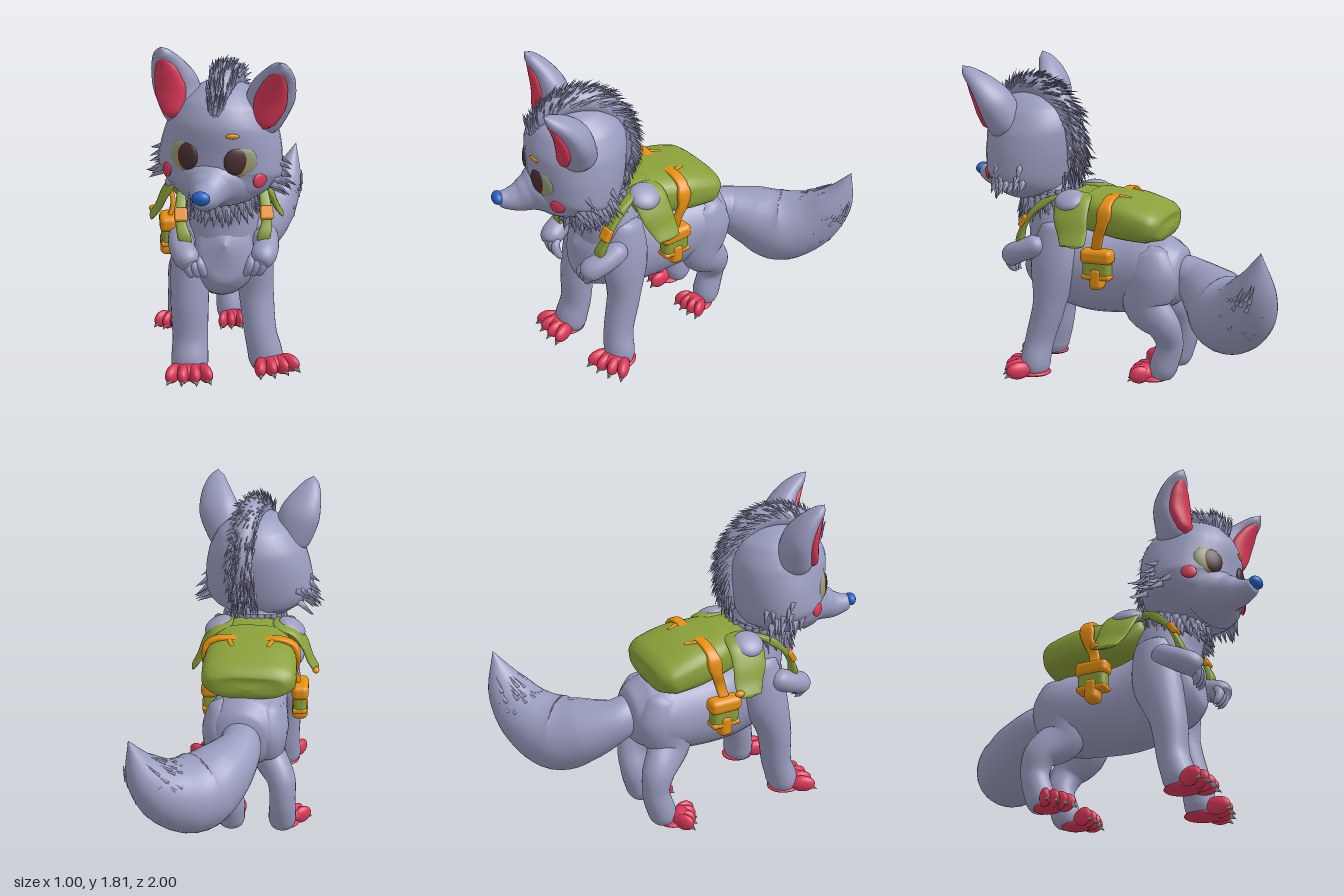
import * as THREE from 'three';
import { mergeGeometries } from 'three/addons/utils/BufferGeometryUtils.js';
import { RoundedBoxGeometry } from 'three/addons/geometries/RoundedBoxGeometry.js';

const V = (x, y, z) => new THREE.Vector3(x, y, z);
const CX = -0.09; // body midline

function paint(name, hex) {
  const m = new THREE.MeshStandardMaterial({ color: hex });
  m.name = name;
  return m;
}

// Smooth skin over sections [x, y, z, rx, ry]; rx runs along ref, power < 1 squares the section
function loft(rows, { ref = V(1, 0, 0), power = 1, sides = 24, steps = 6 } = {}) {
  const path = new THREE.CatmullRomCurve3(rows.map(r => V(r[0], r[1], r[2])));
  const size = new THREE.CatmullRomCurve3(rows.map(r => V(r[3], r[4], 0)));
  const n = (rows.length - 1) * steps, pos = [], idx = [];
  const bend = v => Math.sign(v) * Math.abs(v) ** power;
  for (let i = 0; i <= n; i++) {
    const c = path.getPoint(i / n), r = size.getPoint(i / n), t = path.getTangent(i / n);
    const u = ref.clone().addScaledVector(t, -ref.dot(t)).normalize();
    const w = t.clone().cross(u);
    for (let j = 0; j < sides; j++) {
      const a = j / sides * Math.PI * 2;
      const p = c.clone().addScaledVector(u, bend(Math.cos(a)) * Math.max(r.x, 0.0005))
        .addScaledVector(w, bend(Math.sin(a)) * Math.max(r.y, 0.0005));
      pos.push(p.x, p.y, p.z);
      if (i === n) continue;
      const k = (j + 1) % sides, A = i * sides + j, B = i * sides + k;
      idx.push(A, B, A + sides, B, B + sides, A + sides);
    }
  }
  const g = new THREE.BufferGeometry();
  g.setAttribute('position', new THREE.Float32BufferAttribute(pos, 3));
  g.setIndex(idx);
  g.computeVertexNormals();
  return g;
}

// Merged pointed tufts: each is { p, d, len, r }
function tufts(list) {
  return mergeGeometries(list.map(({ p, d, len, r }) => {
    const g = new THREE.ConeGeometry(r, len, 4).translate(0, len / 2, 0);
    g.applyQuaternion(new THREE.Quaternion().setFromUnitVectors(V(0, 1, 0), d.clone().normalize()));
    return g.translate(p.x, p.y, p.z);
  }));
}

export function createModel() {
  const fur = paint('fur', 0x9a9cbf), green = paint('bag green', 0x8aa03a), orange = paint('strap orange', 0xe68f12);
  const red = paint('paw red', 0xdb3858), blue = paint('nose blue', 0x2463c4), brown = paint('pupil brown', 0x4a2f33);
  const claw = paint('claw grey', 0x9c9f98), eyeGrey = paint('eye olive', 0x949b78);
  const model = new THREE.Group();
  let seed = 7;
  const rnd = () => (seed = (seed * 16807) % 2147483647) / 2147483647;

  const add = (parent, name, geo, mat) => {
    const m = new THREE.Mesh(geo, mat);
    m.name = name;
    parent.add(m);
    return m;
  };
  const ball = (parent, name, mat, p, r, yaw = 0) => {
    const m = add(parent, name, new THREE.SphereGeometry(1, 20, 14), mat);
    m.position.set(...p);
    m.scale.set(...r);
    m.rotation.y = yaw;
    return m;
  };

  // Torso and neck
  add(model, 'body', loft([[-.07, .65, -.39, 0, 0], [-.07, .65, -.365, .13, .13], [-.07, .64, -.3, .2, .19], [-.08, .62, -.18, .235, .225],
    [CX, .6, 0, .215, .235], [CX, .61, .2, .205, .25], [CX, .68, .4, .2, .255], [CX, .735, .54, .14, .19], [CX, .75, .6, 0, 0]]), fur);
  add(model, 'neck', loft([[CX, .65, .36, 0, 0], [CX, .7, .37, .2, .2], [CX, .88, .4, .2, .18], [CX, 1.02, .45, .16, .16],
    [CX, 1.15, .48, .14, .14], [CX, 1.16, .48, 0, 0]]), fur);

  // Neck ruff
  const ruff = [];
  for (let row = 0; row < 3; row++) for (let i = 0; i < 26; i++) {
    const a = (i + row / 3) / 26 * Math.PI * 2, s = Math.sin(a), c = Math.cos(a);
    ruff.push({ p: V(CX + .16 * s, 1.04 - row * .025 - .05 * c, .45 + .165 * c),
      d: V(.4 * s, -1 + rnd() * .3, .4 * c), len: .07 + rnd() * .04, r: .027 });
  }
  add(model, 'neckRuff', tufts(ruff), fur);

  // Paw: red sole, sloping instep, four long toes and claws
  function paw(name, x, z, yaw, k) {
    const g = new THREE.Group();
    g.name = name;
    ball(g, 'sole', red, [0, .022, 0], [.09, .021, .105]);
    ball(g, 'instep', red, [0, .052, .055], [.1, .05, .07]);
    for (let i = 0; i < 4; i++) {
      const a = (i - 1.5) * .3, s = Math.sin(a), c = Math.cos(a);
      ball(g, 'toe', red, [s * .19, .052, c * .085], [.034, .05, .075], a);
      const p = V(s * .24, .035, c * .14);
      add(g, 'claw', tufts([{ p, d: V(s, -.6, c), len: .04, r: .02 }]), claw);
    }
    g.position.set(x, 0, z);
    g.rotation.y = yaw;
    g.scale.set(k, 1, k);
    model.add(g);
  }

  // Front legs
  add(model, 'frontLegRight', loft([[-.24, .92, .36, 0, 0], [-.24, .87, .37, .08, .1], [-.26, .65, .4, .105, .135], [-.27, .42, .465, .103, .1],
    [-.27, .2, .49, .096, .085], [-.275, .08, .525, .1, .09], [-.275, .025, .525, .08, .07], [-.275, .02, .525, 0, 0]]), fur);
  add(model, 'frontLegLeft', loft([[.06, .92, .34, 0, 0], [.06, .87, .35, .08, .1], [.08, .65, .37, .105, .135], [.095, .42, .395, .095, .095],
    [.115, .2, .45, .088, .083], [.14, .08, .465, .095, .085], [.14, .025, .465, .08, .07], [.14, .02, .465, 0, 0]]), fur);
  paw('frontPawRight', -.28, .545, -.05, 1);
  paw('frontPawLeft', .155, .475, .35, 1);

  // Hind legs
  for (const [side, x0, x1, x2] of [['Left', .055, .045, 0], ['Right', -.2, -.28, -.29]]) {
    add(model, 'hindLeg' + side, loft([[x0, .8, -.2, 0, 0], [x0, .76, -.21, .07, .09], [x0, .62, -.21, .11, .155], [x0, .46, -.18, .1, .135],
      [x1, .34, -.28, .08, .095], [x2, .22, -.3, .073, .078], [x2, .09, -.265, .078, .08], [x2, .025, -.25, .06, .055], [x2, .02, -.25, 0, 0]]), fur);
  }
  paw('hindPawLeft', .015, -.205, .1, .8);
  paw('hindPawRight', -.315, -.205, -.45, .8);

  // Tail with tip tufts
  const tail = [[-.07, .66, -.28, .02, .02], [-.06, .64, -.35, .1, .1], [-.05, .6, -.43, .125, .125], [.04, .53, -.57, .18, .18],
    [.16, .48, -.69, .21, .215], [.29, .55, -.81, .175, .18], [.4, .7, -.89, .105, .12], [.47, .91, -.94, 0, 0]];
  add(model, 'tail', loft(tail), fur);
  const tailPath = new THREE.CatmullRomCurve3(tail.map(r => V(r[0], r[1], r[2])));
  const tailTufts = [];
  for (let i = 0; i < 44; i++) {
    const t = .72 + rnd() * .14, a = rnd() * 6.28, T = tailPath.getTangent(t);
    const u = V(1, 0, 0).addScaledVector(T, -T.x).normalize(), w = T.clone().cross(u);
    const out = u.multiplyScalar(Math.cos(a)).addScaledVector(w, Math.sin(a));
    const r = .172 - (t - .714) * .45;
    tailTufts.push({ p: tailPath.getPoint(t).addScaledVector(out, r), d: T.clone().addScaledVector(out, -.38), len: .1, r: .011 });
  }
  add(model, 'tailTufts', tufts(tailTufts), fur);

  // Bag on the back
  add(model, 'bag', loft([[CX, .885, -.28, 0, 0], [CX, .885, -.265, .2, .065], [CX, .905, -.2, .26, .105], [CX, .935, -.05, .26, .125],
    [CX, .955, .1, .235, .12], [CX, .97, .2, .2, .115], [CX, 1.02, .3, .15, .06], [CX, 1.03, .34, 0, 0]], { power: .7, sides: 32 }), green);

  for (const s of [-1, 1]) {
    const X = d => CX + s * d, side = s > 0 ? 'Left' : 'Right', zRef = { ref: V(0, 0, 1) };
    // Small arms held in front, with three drooping fingers
    add(model, 'arm' + side, loft([[X(.2), .8, .42, .02, .02], [X(.22), .765, .46, .07, .065], [X(.22), .725, .55, .068, .062],
      [X(.2), .695, .61, .068, .065], [X(.18), .66, .635, .045, .045], [X(.17), .65, .65, 0, 0]]), fur);
    for (let i = 0; i < 3; i++) {
      const d = .21 - i * .035;
      add(model, 'finger' + side, loft([[X(d), .7, .61, .015, .015], [X(d - .01), .66, .635, .026, .026],
        [X(d - .03), .61, .625, .02, .02], [X(d - .04), .585, .605, 0, 0]], { sides: 10, steps: 4 }), fur);
    }
    // Shoulder flap with fur showing on top; the right one flares wider
    const f = s > 0 ? .94 : 1.03;
    add(model, 'shoulderFlap' + side, loft([[X(.1), 1.05, .24, 0, 0], [X(.13), 1.055, .24, .09, .02], [X(.22 * f), 1.035, .235, .105, .025],
      [X(.285 * f), .95, .225, .1, .022], [X(.325 * f), .86, .2, .085, .018], [X(.362 * f), .805, .19, .07, .012], [X(.37 * f), .795, .19, 0, 0]], zRef), green);
    ball(model, 'shoulderFur' + side, fur, [X(.215 * f), 1.035, .255], [.085, .042, .088]).rotation.z = -s * .5;
    // Carrying strap and buckle
    add(model, 'strap' + side, loft([[X(.16), 1.06, .28, .028, .012], [X(.2), 1.03, .38, .028, .015], [X(.222), .95, .48, .028, .015],
      [X(.225), .86, .535, .028, .015], [X(.2), .76, .56, .028, .015], [X(.18), .67, .5, .025, .012]], { power: .6 }), green);
    const buckle = add(model, 'buckle' + side, new RoundedBoxGeometry(.07, .075, .035, 2, .012), orange);
    buckle.position.set(X(.225), .905, .525);
    buckle.rotation.x = -.55;
    // Side band and pouch, tucked closer on the left
    const pd = s > 0 ? .235 : .28;
    add(model, 'bagBand' + side, loft([[X(.08), 1.058, .02, .03, .01], [X(.17), 1.06, .02, .03, .012], [X(.24), 1.025, .025, .032, .014],
      [X(.264), .93, .04, .032, .014], [X(.25), .84, .07, .03, .014], [X(pd), .74, .09, .03, .012]], { ...zRef, power: .6 }), orange);
    const tab = add(model, 'bandTab' + side, new RoundedBoxGeometry(.025, .02, .07, 2, .008), orange);
    tab.position.set(X(.11), 1.055, -.04);
    tab.rotation.set(-.2, s * .35, 0);
    for (const [name, mat, w, h, d, y] of [['pouchLid', orange, .095, .085, .19, .735], ['pouch', green, .075, .13, .165, .67],
      ['pouchClasp', orange, .09, .13, .08, .61], ['pouchTrim', orange, .082, .03, .172, .62]]) {
      add(model, name + side, new RoundedBoxGeometry(w, h, d, 3, Math.min(.03, h * .4)), mat).position.set(X(pd), y, .08);
    }
  }
  ball(model, 'flapTrim', orange, [CX - .365, .825, .13], [.02, .018, .028]);

  // Head, turned and tilted a little
  const head = new THREE.Group();
  head.name = 'head';
  head.position.set(-.1, 1.3, .55);
  head.rotation.set(0, -.28, -.07, 'YXZ');
  model.add(head);
  add(head, 'skull', loft([[0, -.3, .03, 0, 0], [0, -.28, .03, .16, .16], [0, -.2, .025, .28, .23], [0, -.12, .01, .325, .252],
    [0, 0, 0, .312, .265], [0, .12, 0, .28, .27], [0, .23, 0, .215, .225], [0, .3, 0, .12, .13], [0, .33, 0, 0, 0]], { sides: 32 }), fur);
  add(head, 'muzzle', loft([[0, -.16, .12, .25, .15], [0, -.17, .21, .17, .125], [0, -.185, .265, .11, .098], [0, -.2, .32, .08, .08],
    [0, -.2, .38, .058, .058], [0, -.192, .42, .042, .042], [0, -.19, .44, 0, 0]]), fur);
  ball(head, 'nose', blue, [0, -.18, .435], [.046, .035, .032]);

  const cheekTufts = [];
  for (const s of [-1, 1]) {
    const side = s > 0 ? 'Left' : 'Right', k = s > 0 ? 1.12 : .8;
    // Ears with red lining; the left one leans further forward
    add(head, 'ear' + side, loft([[s * .17, .08, .03, .06, .05], [s * .2, .16, .045, .11, .1], [s * .25, .29, .065 * k, .12, .085],
      [s * .285, .39, .12 * k, .09, .055], [s * .303, .46, .19 * k, .045, .03], [s * .307, .492, .22 * k, 0, 0]]), fur);
    add(head, 'earLining' + side, loft([[s * .225, .12, .14, 0, 0], [s * .232, .16, .135, .055, .03], [s * .255, .26, .07 + .06 * k, .082, .04],
      [s * .282, .365, .035 + .125 * k, .062, .03], [s * .3, .435, .01 + .185 * k, .022, .014], [s * .303, .45, .01 + .195 * k, 0, 0]]), red);
    // Eyes and cheek spots
    ball(head, 'eyeWhite' + side, eyeGrey, [s * .148, -.03, .222], [.082, .077, .02], s * .45);
    ball(head, 'iris' + side, orange, [s * .141, -.032, .227], [.074, .071, .02], s * .45);
    ball(head, 'pupil' + side, brown, [s * .128, -.03, .235], [.067, .071, .021], s * .42);
    ball(head, 'cheekSpot' + side, red, [s * .24, -.13, .173], [.042, .038, .012], s * .85);
    for (let i = 0; i < 16; i++) {
      const a = -.35 + rnd() * .9, y = -.05 - rnd() * .14;
      cheekTufts.push({ p: V(s * .3 * Math.cos(a), y, -.23 * Math.sin(a)),
        d: V(s, -.35 - rnd() * .5, -.5 + rnd() * .2), len: .09 + rnd() * .03, r: .022 });
    }
  }
  ball(head, 'brow', orange, [.1, .1, .253], [.035, .013, .008], .35);
  add(head, 'cheekFur', tufts(cheekTufts), fur);

  // Mane: a ridge over the crown and down the nape, covered with strands
  const arc = (deg, lift = 0) => {
    const a = deg * Math.PI / 180;
    return V(0, .02 + (.31 + lift) * Math.sin(a), (.265 + lift) * Math.cos(a));
  };
  const ridge = [28, 45, 70, 105, 140, 170, 195, 215].map((d, i) => {
    const p = arc(d, .02), r = [0, .04, .065, .072, .065, .058, .045, 0][i];
    return [0, p.y, p.z, r, r * .95];
  });
  add(head, 'maneRidge', loft(ridge), fur);
  const strands = [];
  for (let i = 0; i < 380; i++) {
    const deg = 32 + rnd() * 178, x = (rnd() - .5) * .14, a = deg * Math.PI / 180;
    const front = Math.max(0, 1 - (deg - 32) / 50), lift = .42 + .5 * front;
    const p = arc(deg, .06 - Math.abs(x) * .5 - front * .03);
    p.x = x * (1 - front * .5);
    strands.push({ p, d: V(x * 3, lift * Math.sin(a) + .8 * Math.cos(a), lift * Math.cos(a) - .8 * Math.sin(a)),
      len: .08 + rnd() * .04, r: .011 });
  }
  add(head, 'maneStrands', tufts(strands), fur);
  return model;
}
